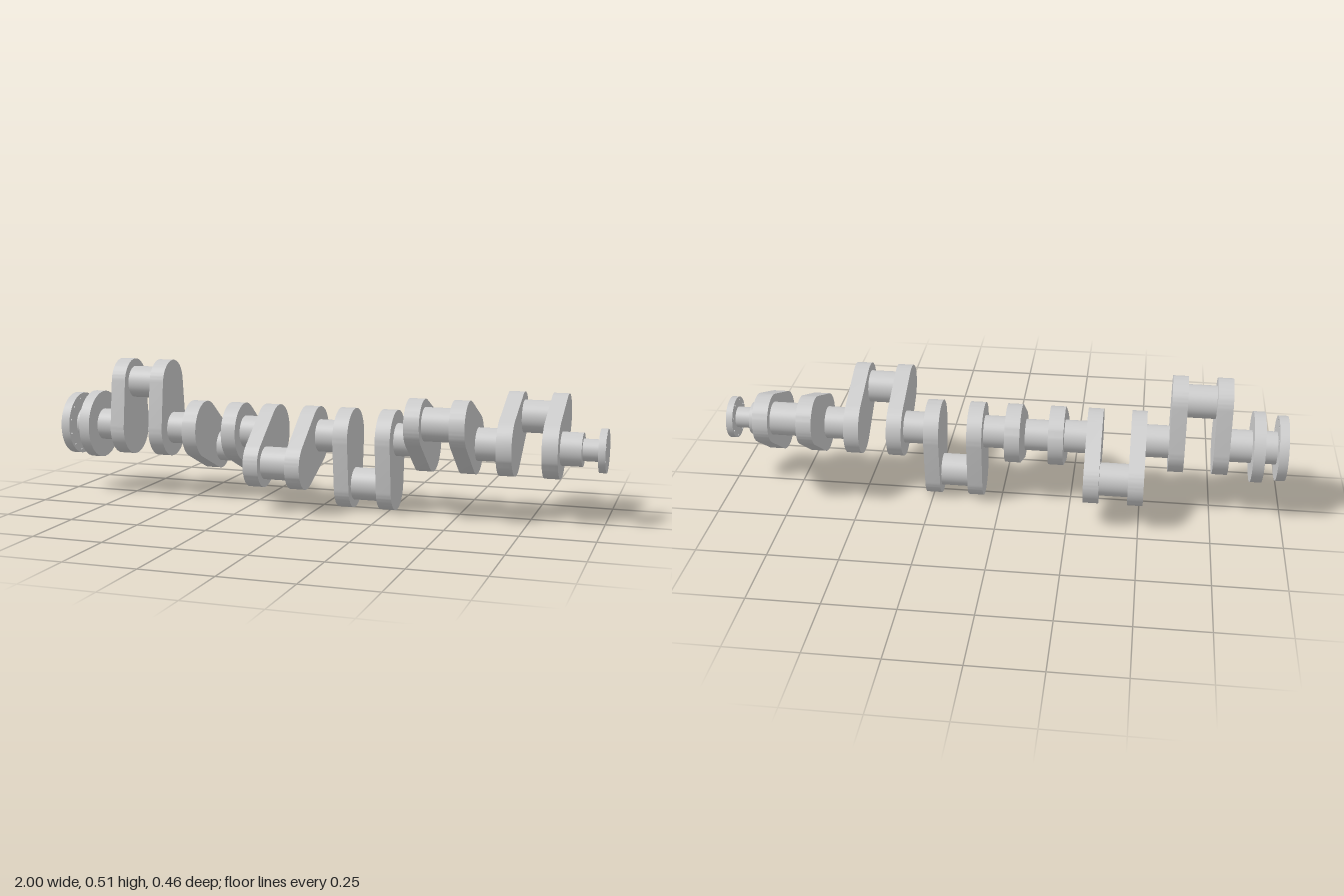
import * as THREE from 'three';
import { toCreasedNormals } from 'three/addons/utils/BufferGeometryUtils.js';

const AXIS_Y = 0.255;      // height of the shaft axis
const THROW = 0.167;       // crank pin offset
const MAIN_R = 0.105;      // web radius round the main journal
const PIN_END_R = 0.086;   // web radius round the crank pin
const JOURNAL_R = 0.058;
const WEB = 0.054;         // web thickness
const THROW_LENGTH = 0.208;
const PITCH = 0.288;

const material = new THREE.MeshStandardMaterial({ color: 0xcccccc });

function addMesh(parent, name, geometry) {
  const mesh = new THREE.Mesh(geometry, material);
  mesh.name = name;
  parent.add(mesh);
  return mesh;
}

// Cylinder along x between two stations
function addCylinder(parent, name, x0, x1, radius, y = 0) {
  const geometry = new THREE.CylinderGeometry(radius, radius, x1 - x0, 40);
  geometry.rotateZ(-Math.PI / 2).translate((x0 + x1) / 2, y, 0);
  return addMesh(parent, name, geometry);
}

// Extrude a shape along x
function extrudeX(shape, x0, x1, curveSegments) {
  const geometry = new THREE.ExtrudeGeometry(shape, { depth: x1 - x0, bevelEnabled: false, curveSegments });
  geometry.rotateY(Math.PI / 2).translate(x0, 0, 0);
  return toCreasedNormals(geometry, 0.6);
}

// Disc with a ring of through bolt holes
function addFlange(parent, name, x0, x1, radius, holes, ringRadius) {
  const shape = new THREE.Shape();
  shape.absarc(0, 0, radius, 0, Math.PI * 2, false);
  for (let i = 0; i < holes; i++) {
    const a = ((i + 0.5) / holes) * Math.PI * 2;
    const hole = new THREE.Path();
    hole.absarc(ringRadius * Math.cos(a), ringRadius * Math.sin(a), 0.004, 0, Math.PI * 2, true);
    shape.holes.push(hole);
  }
  return addMesh(parent, name, extrudeX(shape, x0, x1, 20));
}

// Two circles of different size joined by tangent lines
function webShape() {
  const a = Math.asin((MAIN_R - PIN_END_R) / THROW);
  const shape = new THREE.Shape();
  shape.absarc(0, 0, MAIN_R, Math.PI - a, Math.PI * 2 + a, false);
  shape.absarc(0, THROW, PIN_END_R, a, Math.PI - a, false);
  shape.closePath();
  return shape;
}

export function createModel() {
  const model = new THREE.Group();
  model.name = 'crankshaft';
  const shaft = new THREE.Group();
  shaft.name = 'shaft';
  shaft.position.y = AXIS_Y;
  model.add(shaft);

  // Drive end: bolted flange, collar and first journal
  addFlange(shaft, 'driveFlange', -1, -0.967, 0.115, 12, 0.1);
  addCylinder(shaft, 'flangeNeck', -0.967, -0.92, JOURNAL_R);
  addCylinder(shaft, 'collar', -0.92, -0.88, 0.125);
  addCylinder(shaft, 'mainJournal', -0.88, -0.8, JOURNAL_R);

  // Six throws, each a pair of webs holding a pin
  const shape = webShape();
  const angles = [0, -120, 120, 180, 60, -60];
  angles.forEach((degrees, i) => {
    const x = -0.8 + i * PITCH;
    const end = x + THROW_LENGTH;
    const crank = new THREE.Group();
    crank.name = `throw${i + 1}`;
    crank.rotation.x = THREE.MathUtils.degToRad(degrees);
    addMesh(crank, 'web', extrudeX(shape, x, x + WEB, 18));
    addMesh(crank, 'web', extrudeX(shape, end - WEB, end, 18));
    addCylinder(crank, 'crankPin', x + WEB, end - WEB, JOURNAL_R, THROW);
    shaft.add(crank);

    // Main journal up to the next throw or the nose
    const next = i < angles.length - 1 ? x + PITCH : 0.92;
    addCylinder(shaft, 'mainJournal', end, next, JOURNAL_R);
  });

  // Nose end: narrow neck and small bolted flange
  addCylinder(shaft, 'noseNeck', 0.92, 0.976, 0.038);
  addFlange(shaft, 'noseFlange', 0.976, 1, 0.075, 8, 0.065);

  return model;
}
